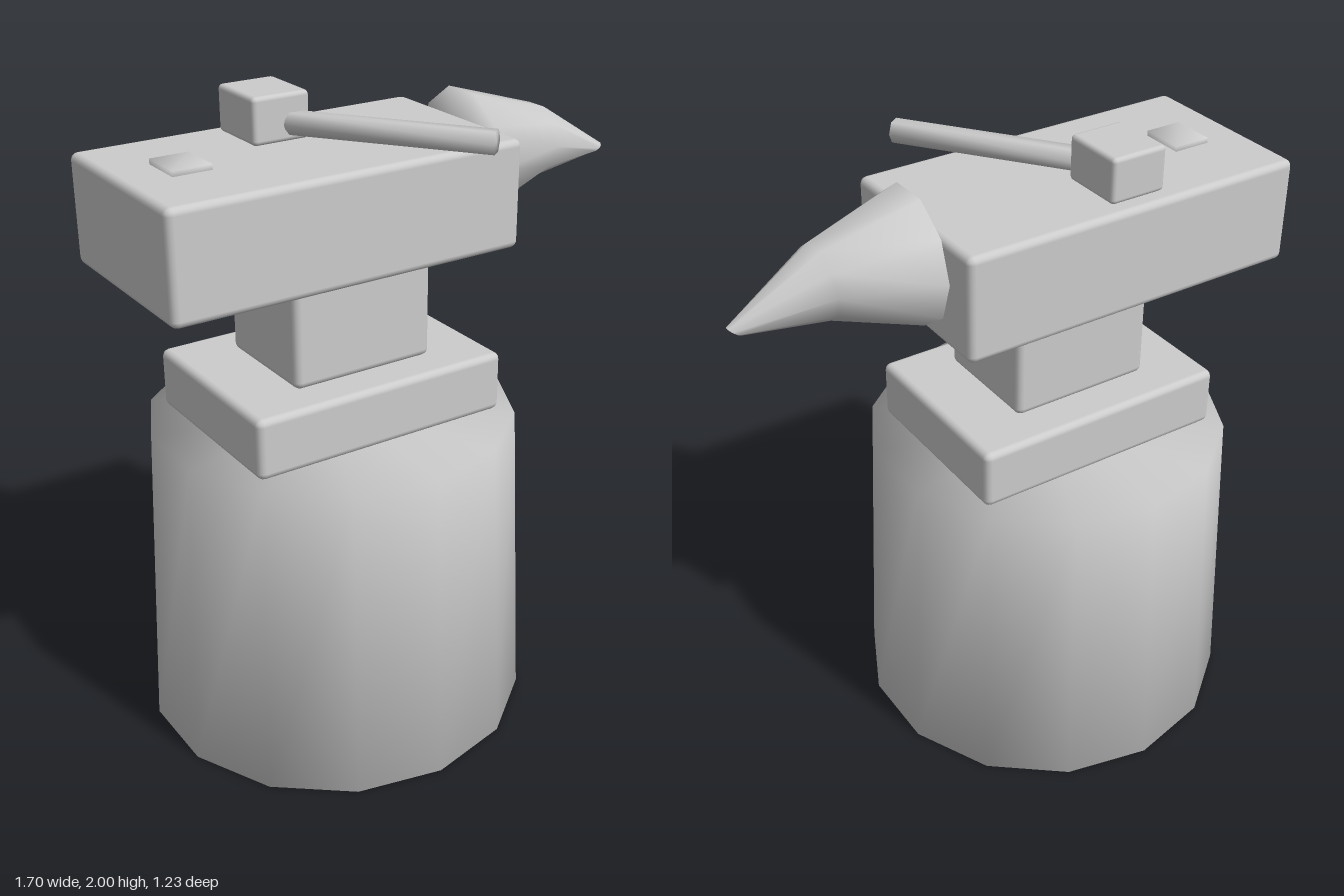
import * as THREE from 'three';
import { mergeVertices } from 'three/addons/utils/BufferGeometryUtils.js';
import { RoundedBoxGeometry } from 'three/addons/geometries/RoundedBoxGeometry.js';

// Weld all corners so the shading runs smoothly over every edge
function soften(geometry) {
  geometry.deleteAttribute('uv');
  geometry.deleteAttribute('normal');
  const welded = mergeVertices(geometry, 1e-4);
  welded.computeVertexNormals();
  return welded;
}

export function createModel() {
  const group = new THREE.Group();
  group.name = 'anvilOnStump';
  const grey = new THREE.MeshStandardMaterial({ color: 0xcccccc });
  grey.name = 'plain grey';

  function add(name, geometry) {
    const mesh = new THREE.Mesh(geometry, grey);
    mesh.name = name;
    group.add(mesh);
    return mesh;
  }

  // Box with softly rounded edges, given by its extents
  function block(name, [x0, x1], [y0, y1], [z0, z1], radius = 0.022) {
    const geometry = new RoundedBoxGeometry(x1 - x0, y1 - y0, z1 - z0, 2, radius);
    add(name, geometry).position.set((x0 + x1) / 2, (y0 + y1) / 2, (z0 + z1) / 2);
  }

  // Stump: tapered, fourteen sides
  const stump = add('stump', soften(new THREE.CylinderGeometry(0.57, 0.614, 1.01, 14)));
  stump.position.set(-0.195, 0.505, 0);

  // Anvil: foot, waist and body
  block('anvilFoot', [-0.62, 0.23], [1.01, 1.2], [-0.305, 0.305]);
  block('anvilWaist', [-0.43, 0.04], [1.2, 1.53], [-0.185, 0.195]);
  block('anvilBody', [-0.855, 0.28], [1.53, 1.86], [-0.305, 0.305]);

  // Horn: three ten-sided rings, drooping towards a tilted tip
  const rings = [
    { x: 0.283, y: 1.74, r: 0.208, tilt: 0 },
    { x: 0.57, y: 1.743, r: 0.114, tilt: 0.08 },
    { x: 0.832, y: 1.673, r: 0.023, tilt: 0.95 },
  ];
  const horn = new THREE.CylinderGeometry(1, 1, 2, 10, 2);
  const p = horn.attributes.position;
  for (let i = 0; i < p.count; i++) {
    const ring = rings[Math.round(p.getY(i)) + 1];
    const up = -p.getX(i) * ring.r;
    p.setXYZ(i, ring.x + up * Math.sin(ring.tilt), ring.y + up * Math.cos(ring.tilt), p.getZ(i) * ring.r);
  }
  add('anvilHorn', soften(horn));

  // Small square plug on the face of the anvil
  const plug = add('squarePlug', soften(new THREE.BoxGeometry(0.12, 0.04, 0.14)));
  plug.position.set(-0.658, 1.856, 0);

  // Hammer lying on the anvil
  block('hammerHead', [-0.405, -0.22], [1.86, 2], [-0.257, -0.047], 0.014);
  const start = new THREE.Vector3(-0.28, 1.911, -0.065);
  const end = new THREE.Vector3(0.087, 1.911, 0.425);
  const handleShape = new THREE.CylinderGeometry(0.037, 0.037, start.distanceTo(end), 6);
  handleShape.rotateX(Math.PI / 2).rotateZ(Math.PI / 2);
  // Corners of the hexagon point sideways, so it rests on a flat
  const sideways = handleShape.rotateZ(Math.PI / 2);
  sideways.rotateZ(Math.PI / 2);
  const handle = add('hammerHandle', soften(sideways));
  handle.position.copy(start).add(end).multiplyScalar(0.5);
  handle.rotation.y = Math.atan2(end.x - start.x, end.z - start.z);

  return group;
}
